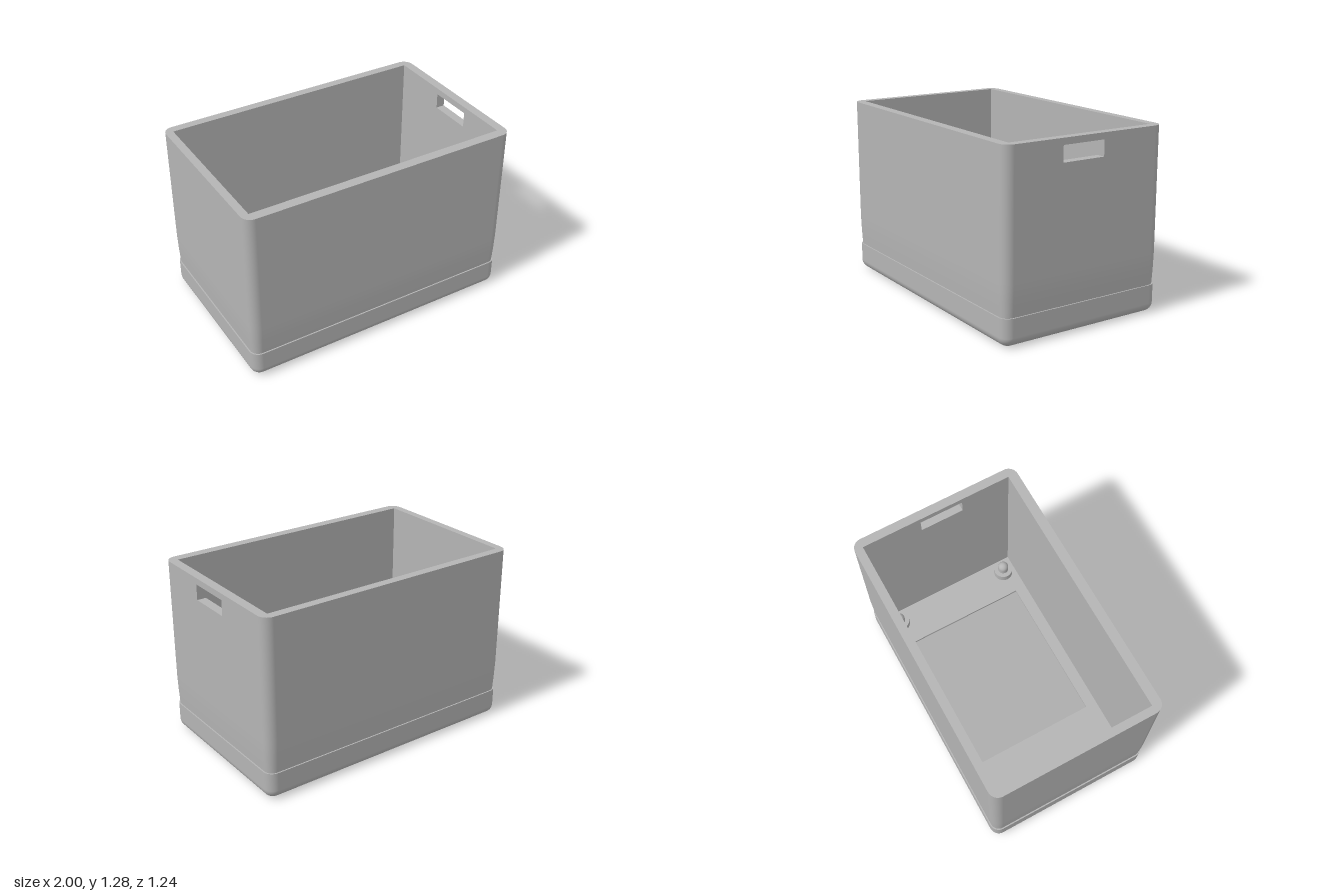
import * as THREE from 'three';

const W = 1, D = 0.622, H = 1.285, R = 0.07;           // half width, half depth, height, corner radius
const FLOOR = 0.02, FILLET = 0.065;
const IN = { x0: -0.944, x1: 0.936, z0: -0.561, z1: 0.553 };   // cavity
const SLOT = { y0: 1.13, y1: 1.24, z0: -0.13, z1: 0.19 };      // hand slot in the +x wall
const HOLE = { x0: -0.46, x1: 0.645, z0: -0.5, z1: 0.468 };    // floor opening

// Joins rings of points into a skin; skip(j, i) leaves a quad open
function loft(rings, skip = () => false) {
  const pos = [], nor = [], n = rings[0].length;
  for (let j = 0; j + 1 < rings.length; j++) {
    for (let i = 0; i < n; i++) {
      if (skip(j, i)) continue;
      const k = (i + 1) % n;
      const a = rings[j][i], b = rings[j][k], c = rings[j + 1][k], d = rings[j + 1][i];
      for (const v of [a, b, c, a, c, d]) {
        pos.push(...v.p);
        if (v.n) nor.push(...v.n);
      }
    }
  }
  const g = new THREE.BufferGeometry();
  g.setAttribute('position', new THREE.Float32BufferAttribute(pos, 3));
  if (nor.length) g.setAttribute('normal', new THREE.Float32BufferAttribute(nor, 3));
  else g.computeVertexNormals();
  return g;
}

// Rounded outline at height y, pulled in by inset; tilt is the slope of its normals
function outerRing(y, inset, tilt) {
  const ring = [], c = Math.cos(tilt), s = Math.sin(tilt), steps = 8;
  const add = (x, z, nx, nz) => ring.push({ p: [x, y, z], n: [nx * c, s, nz * c] });
  [[1, -1], [-1, -1], [-1, 1], [1, 1]].forEach(([sx, sz], q) => {
    for (let i = 0; i <= steps; i++) {
      const a = (q + i / steps) * Math.PI / 2, nx = Math.cos(a), nz = -Math.sin(a);
      add(sx * (W - R) + nx * (R - inset), sz * (D - R) + nz * (R - inset), nx, nz);
    }
  });
  add(W - inset, SLOT.z1, 1, 0);
  add(W - inset, SLOT.z0, 1, 0);
  return ring;
}

// Sharp rectangle at height y, optionally with the slot's edge points
function rectRing(r, y, slot) {
  const pts = [[r.x1, r.z0], [r.x0, r.z0], [r.x0, r.z1], [r.x1, r.z1]];
  if (slot) pts.push([r.x1, SLOT.z1], [r.x1, SLOT.z0]);
  return pts.map(([x, z]) => ({ p: [x, y, z] }));
}

// Flat horizontal plate with a rectangular hole, facing up or down
function plate(outer, inner, y, up) {
  const s = up ? -1 : 1;
  const to2 = ring => ring.map(v => new THREE.Vector2(v.p[0], s * v.p[2]));
  const shape = new THREE.Shape(to2(outer));
  shape.holes.push(new THREE.Path(to2(inner)));
  return new THREE.ShapeGeometry(shape).rotateX(s * Math.PI / 2).translate(0, y, 0);
}

export function createModel() {
  const model = new THREE.Group();
  model.name = 'openBin';
  const grey = new THREE.MeshStandardMaterial({ color: 0xb4b4b4 });
  grey.name = 'grey';
  const add = (name, geometry, parent = model) => {
    const mesh = new THREE.Mesh(geometry, grey);
    mesh.name = name;
    parent.add(mesh);
    return mesh;
  };

  // Base band: rounded lower edge, straight side, small ledge
  const base = [];
  for (let i = 0; i <= 8; i++) {
    const a = (i / 8) * Math.PI / 2;
    base.push(outerRing(FILLET * (1 - Math.cos(a)), FILLET * (1 - Math.sin(a)), a - Math.PI / 2));
  }
  base.push(outerRing(0.196, 0, 0));
  add('baseBand', loft(base));
  add('ledge', loft([outerRing(0.196, 0, Math.PI / 2), outerRing(0.196, 0.009, Math.PI / 2)]));

  // Outer wall: recessed above the ledge, flaring out to full width
  const walls = [[0.196, 0.009, -0.05], [0.3, 0.0035, -0.04], [0.42, 0, 0],
    [SLOT.y0, 0, 0], [SLOT.y1, 0, 0], [H, 0, 0]].map(v => outerRing(...v));
  const slotQuad = walls[0].length - 2;
  add('outerWall', loft(walls, (j, i) => j === 3 && i === slotQuad));

  // Inner wall, built downward so it faces the cavity
  const inner = [H, SLOT.y1, SLOT.y0, FLOOR].map(y => rectRing(IN, y, true));
  add('innerWall', loft(inner, (j, i) => j === 1 && i === 4));
  add('rim', plate(outerRing(H, 0, 0), rectRing(IN, H), H, true));

  // Sides of the hand slot
  const slotRing = x => [[SLOT.y0, SLOT.z0], [SLOT.y1, SLOT.z0], [SLOT.y1, SLOT.z1], [SLOT.y0, SLOT.z1]]
    .map(([y, z]) => ({ p: [x, y, z] }));
  add('handSlot', loft([slotRing(W), slotRing(IN.x1)]));

  // Thin floor with its opening
  add('floorTop', plate(rectRing(IN, 0), rectRing(HOLE, 0), FLOOR, true));
  add('floorUnderside', plate(outerRing(0, FILLET, 0), rectRing(HOLE, 0), 0, false));
  add('floorOpening', loft([rectRing(HOLE, FLOOR), rectRing(HOLE, 0)]));

  // Four standoffs with round-tipped pins
  for (const [x, z] of [[-0.842, -0.447], [0.837, -0.463], [-0.842, 0.441], [0.837, 0.457]]) {
    const standoff = new THREE.Group();
    standoff.name = 'standoff';
    standoff.position.set(x, FLOOR, z);
    add('post', new THREE.CylinderGeometry(0.072, 0.072, 0.06, 32), standoff).position.y = 0.03;
    add('pin', new THREE.CylinderGeometry(0.04, 0.04, 0.04, 32, 1, true), standoff).position.y = 0.08;
    const tip = new THREE.SphereGeometry(0.04, 32, 8, 0, Math.PI * 2, 0, Math.PI / 2);
    add('pinTip', tip, standoff).position.y = 0.1;
    model.add(standoff);
  }
  return model;
}
